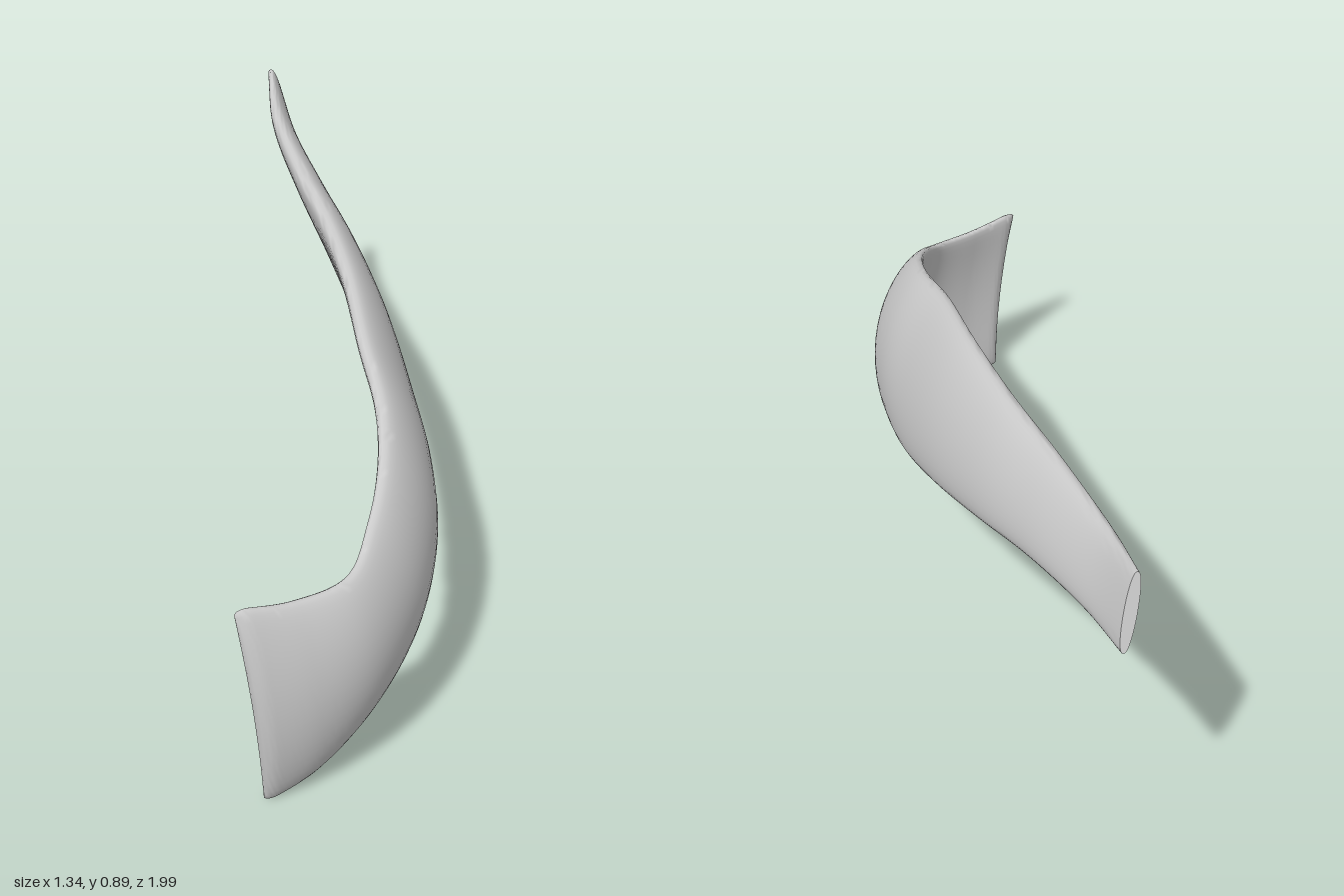
import * as THREE from 'three';
import { toCreasedNormals } from 'three/addons/utils/BufferGeometryUtils.js';

const curve = (pts) => new THREE.CatmullRomCurve3(pts.map((p) => new THREE.Vector3(...p)));

// Upper edge, lower edge and [half thickness, outward bow], station by station from far tip to front end
const upper = curve([
  [-0.655, 0.89, -0.93], [-0.52, 0.84, -0.745], [-0.3, 0.812, -0.505], [-0.1, 0.795, -0.305],
  [0.1, 0.77, -0.08], [0.28, 0.725, 0.15], [0.42, 0.675, 0.315], [0.51, 0.62, 0.465],
  [0.565, 0.56, 0.61], [0.588, 0.505, 0.74], [0.53, 0.497, 0.87], [0.455, 0.518, 0.99],
]);
const lower = curve([
  [-0.655, 0.73, -1.0], [-0.52, 0.685, -0.85], [-0.3, 0.61, -0.64], [-0.1, 0.53, -0.46],
  [0.1, 0.445, -0.27], [0.29, 0.355, -0.06], [0.42, 0.29, 0.12], [0.53, 0.235, 0.3],
  [0.6, 0.175, 0.51], [0.605, 0.1, 0.72], [0.565, 0.035, 0.84], [0.5, -0.01, 0.945],
]);
const girth = curve([
  [0.015, 0, 0], [0.027, 0, 0.1], [0.036, 0.005, 0.2], [0.041, 0.01, 0.3],
  [0.042, 0.017, 0.4], [0.042, 0.025, 0.5], [0.042, 0.034, 0.6], [0.038, 0.041, 0.7],
  [0.033, 0.043, 0.8], [0.028, 0.04, 0.9], [0.027, 0.036, 1], [0.024, 0.024, 1.1],
]);

function bladeGeometry(rings = 110, sides = 40) {
  const pos = [], index = [];
  const midAt = (t) => upper.getPoint(t).add(lower.getPoint(t)).multiplyScalar(0.5);

  // Bowed oval cross-sections spanning the two edges, closer together toward the rounded front end
  for (let i = 0; i <= rings; i++) {
    const u = i / rings, t = u * (1.6 - 0.6 * u);
    const round = Math.sqrt(1 - Math.max(0, (t - 0.975) / 0.025) ** 2 * 0.97);
    const mid = midAt(t), g = girth.getPoint(t);
    const half = upper.getPoint(t).sub(mid);
    const along = midAt(Math.min(1, t + 0.01)).sub(midAt(Math.max(0, t - 0.01)));
    const out = half.clone().cross(along).normalize();
    half.multiplyScalar(0.94 + 0.06 * round);
    for (let j = 0; j < sides; j++) {
      const a = (j / sides) * Math.PI * 2, s = Math.sin(a);
      const depth = Math.sign(s) * Math.abs(s) ** 0.8 * g.x * round + g.y * s * s;
      const p = mid.clone().addScaledVector(half, Math.cos(a)).addScaledVector(out, depth);
      pos.push(p.x, p.y, p.z);
    }
  }
  const at = (i, j) => i * sides + (j % sides);
  for (let i = 0; i < rings; i++) {
    for (let j = 0; j < sides; j++) {
      index.push(at(i, j), at(i + 1, j), at(i, j + 1));
      index.push(at(i + 1, j), at(i + 1, j + 1), at(i, j + 1));
    }
  }

  // End caps: strips across each section, following its bow
  for (let j = 0; j < sides / 2; j++) {
    const [a, b, c, d] = [j, j + 1, sides - j - 1, sides - j];
    index.push(at(0, a), at(0, b), at(0, c), at(0, a), at(0, c), at(0, d));
    index.push(at(rings, a), at(rings, c), at(rings, b), at(rings, a), at(rings, d), at(rings, c));
  }

  const geo = new THREE.BufferGeometry();
  geo.setAttribute('position', new THREE.Float32BufferAttribute(pos, 3));
  geo.setIndex(index);
  return toCreasedNormals(geo, Math.PI / 3);
}

export function createModel() {
  const group = new THREE.Group();
  group.name = 'ribBone';
  const blade = new THREE.Mesh(bladeGeometry(), new THREE.MeshStandardMaterial({ color: 0xcccccc }));
  blade.name = 'curvedBlade';
  group.add(blade);
  return group;
}
